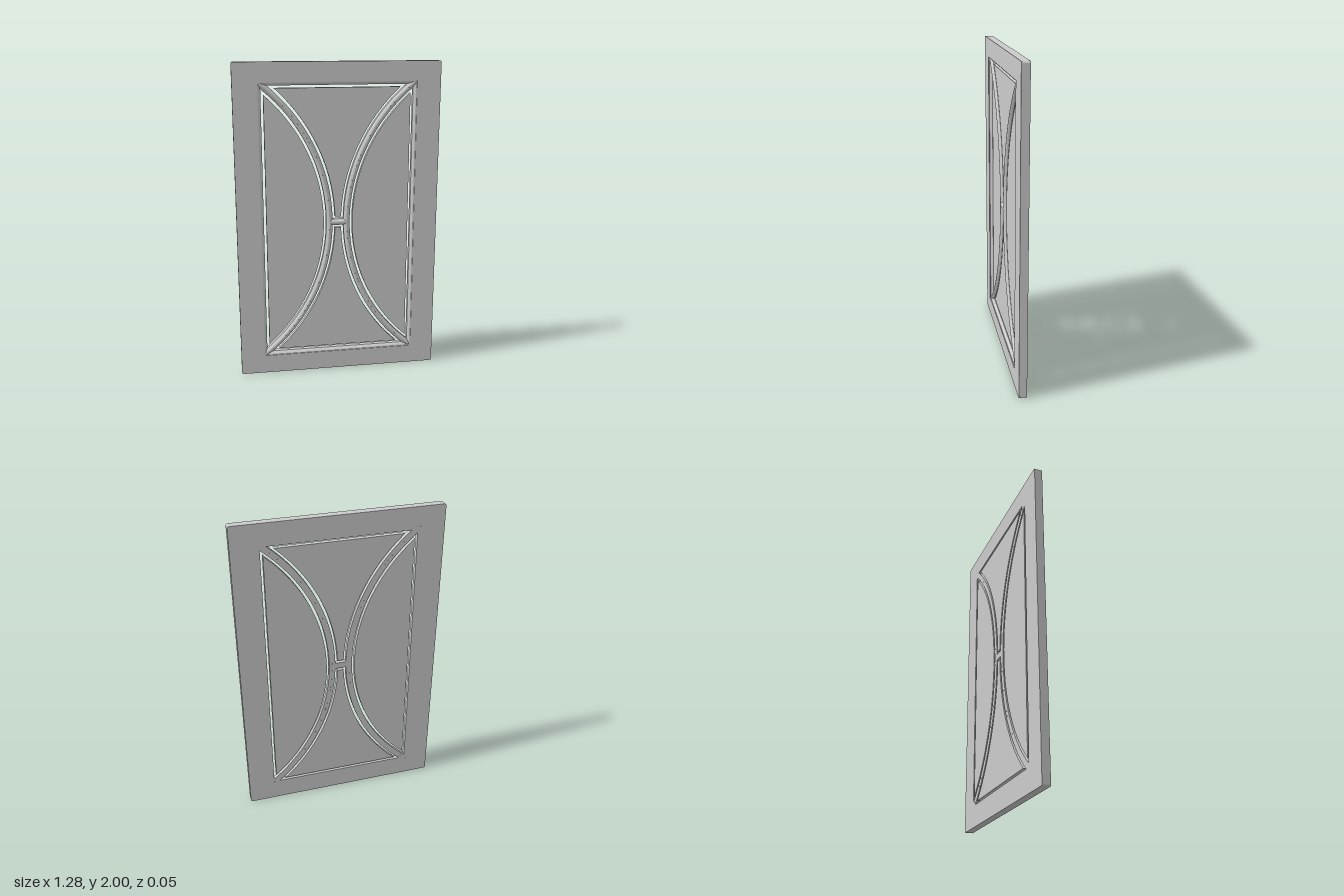
import * as THREE from 'three';
import { toCreasedNormals } from 'three/addons/utils/BufferGeometryUtils.js';

const W = 0.64, H = 2, BACK = -0.025, FRONT = 0.025;
const OPEN_X = 0.49, OPEN_Y = 0.88;      // half size of the frame opening
const ARC_X = -1.163, ARC_R = 1.108;     // circle along the crest of the left mullion
const SEG = 48;
const GAP = 0.02, PANEL = 0.036;         // insets of the slot's outer and inner edge

const material = new THREE.MeshStandardMaterial({ color: 0xcccccc, side: THREE.DoubleSide });

// Mirrors a loop about x = 0 and/or y = 1, keeping it counter-clockwise
function mirror(points, sx, sy) {
  const out = points.map(([x, y]) => [x * sx, 1 + (y - 1) * sy]);
  return sx * sy < 0 ? out.reverse() : out;
}

// Outline of the left opening, inset by t: a straight side and an arc
function sideLoop(t) {
  const r = ARC_R - t;
  const a = Math.acos((-OPEN_X + t - ARC_X) / r);
  const pts = [];
  for (let i = 0; i <= SEG; i++) {
    const k = -a + (2 * a * i) / SEG;
    pts.push([ARC_X + r * Math.cos(k), 1 + r * Math.sin(k)]);
  }
  return pts;
}

// Outline of the upper middle opening, inset by t: two arcs, top edge and centre bar
function middleLoop(t) {
  const r = ARC_R + t;
  const a0 = Math.asin(t / r), a1 = Math.asin((OPEN_Y - t) / r);
  const left = [];
  for (let i = 0; i <= SEG; i++) {
    const k = a1 + ((a0 - a1) * i) / SEG;
    left.push([ARC_X + r * Math.cos(k), 1 + r * Math.sin(k)]);
  }
  return [...left.map(([x, y]) => [-x, y]).reverse(), ...left];
}

const toShape = (points) => new THREE.Shape(points.map(([x, y]) => new THREE.Vector2(x, y)));

// Moulding section as [inset, z]: rounded crest, slope, slot wall, flat back
const section = [
  [0, 0.02], [0.005, 0.0195], [0.01, 0.016], [0.015, 0.009],
  [GAP, 0.003], [GAP, BACK], [0, BACK],
];

// Sweeps the section round an opening, mitred at its corners
function mouldingGeometry(loopAt) {
  const rows = section.map(([t, z]) => loopAt(t).map(([x, y]) => [x, y, z]));
  const n = rows[0].length, pos = [], index = [];
  rows.forEach((row) => row.forEach((p) => pos.push(...p)));
  for (let j = 0; j < rows.length - 1; j++) {
    for (let i = 0; i < n; i++) {
      const k = (i + 1) % n;
      const a = j * n + i, b = j * n + k, c = b + n, d = a + n;
      index.push(a, b, c, a, c, d);
    }
  }
  const g = new THREE.BufferGeometry();
  g.setAttribute('position', new THREE.Float32BufferAttribute(pos, 3));
  g.setIndex(index);
  return toCreasedNormals(g, 0.6);
}

function add(group, name, geometry) {
  const mesh = new THREE.Mesh(geometry, material);
  mesh.name = name;
  group.add(mesh);
}

function slab(shape, z0, z1) {
  const g = new THREE.ExtrudeGeometry(shape, { depth: z1 - z0, bevelEnabled: false, curveSegments: 4 });
  return g.translate(0, 0, z0);
}

export function createModel() {
  const door = new THREE.Group();
  door.name = 'cabinetDoor';

  // Outer frame with softened corners
  const r = 0.012;
  const frame = new THREE.Shape();
  frame.absarc(W - r, r, r, -Math.PI / 2, 0);
  frame.absarc(W - r, H - r, r, 0, Math.PI / 2);
  frame.absarc(-W + r, H - r, r, Math.PI / 2, Math.PI);
  frame.absarc(-W + r, r, r, Math.PI, Math.PI * 1.5);
  const lo = 1 - OPEN_Y, hi = 1 + OPEN_Y;
  frame.holes.push(toShape([[-OPEN_X, lo], [-OPEN_X, hi], [OPEN_X, hi], [OPEN_X, lo]]));
  add(door, 'frame', slab(frame, BACK, FRONT));

  // Each opening: its moulding (half of every mullion) and the loose panel inside it
  const openings = [
    ['left', sideLoop, -1, 1], ['right', sideLoop, 1, 1],
    ['upper', middleLoop, 1, 1], ['lower', middleLoop, 1, -1],
  ];
  for (const [name, loop, sx, sy] of openings) {
    const loopAt = (t) => mirror(loop(t), sx, sy);
    add(door, name + 'Moulding', mouldingGeometry(loopAt));
    add(door, name + 'Panel', slab(toShape(loopAt(PANEL)), BACK, 0.005));
  }
  return door;
}
